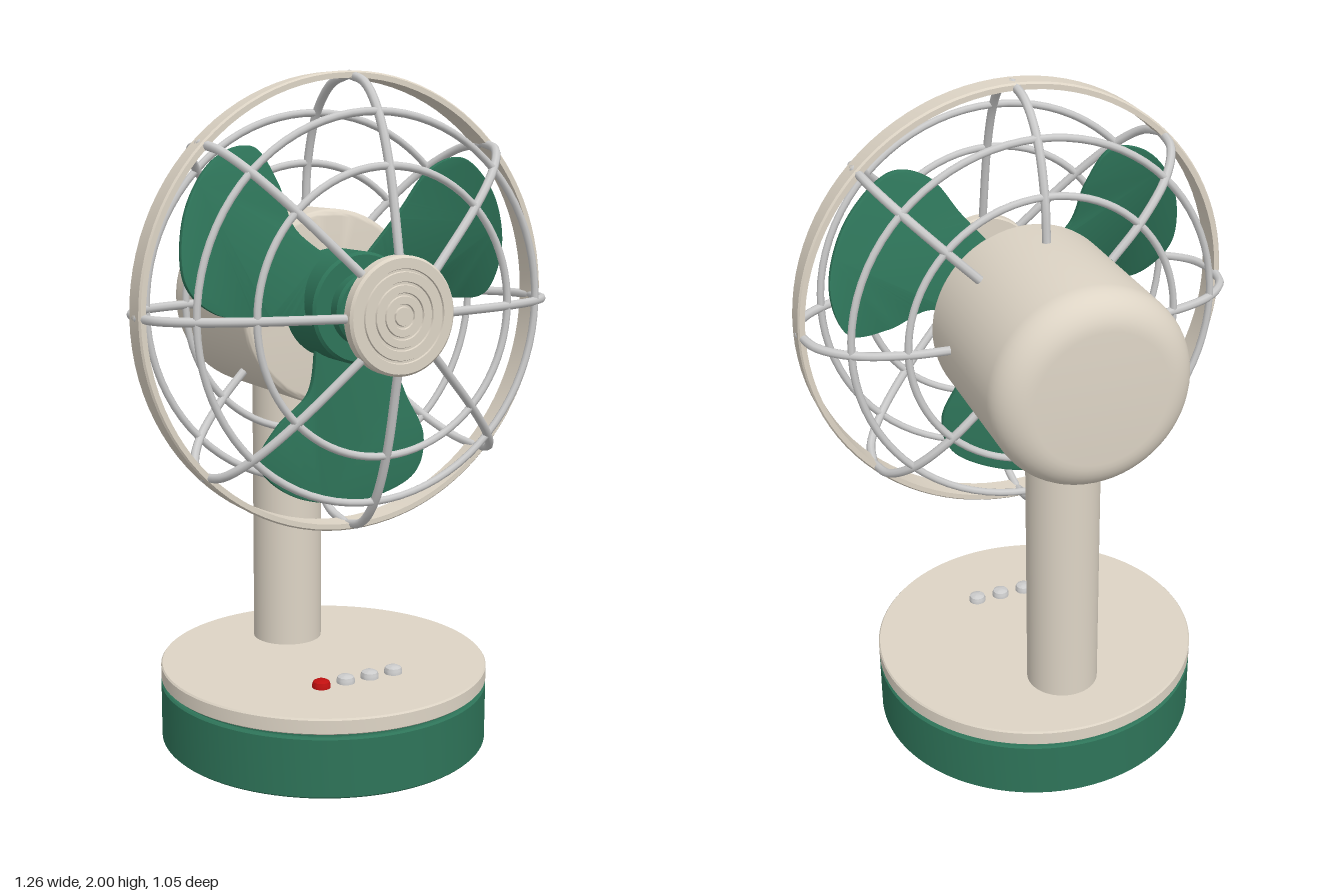
import * as THREE from 'three';
import { toCreasedNormals } from 'three/addons/utils/BufferGeometryUtils.js';

const paint = (color) => new THREE.MeshStandardMaterial({ color });
const CREAM = paint(0xddd4c5);
const GREEN = paint(0x2e7459);
const METAL = paint(0xcccccc);
const RED = paint(0xc01010);

function add(parent, name, geometry, material) {
  const mesh = new THREE.Mesh(geometry, material);
  mesh.name = name;
  parent.add(mesh);
  return mesh;
}

// Turned solid from [radius, height] pairs, with sharp edges kept sharp
function turned(profile, segments = 64) {
  const points = profile.map(([r, h]) => new THREE.Vector2(r, h));
  return toCreasedNormals(new THREE.LatheGeometry(points, segments), 0.6);
}

// Turned solid whose axis runs front to back
const turnedZ = (profile, segments) => turned(profile, segments).rotateX(Math.PI / 2);

// Quarter-round corner as [radius, height] pairs
function corner(r, h, size, from, to, steps = 6) {
  return Array.from({ length: steps + 1 }, (_, i) => {
    const a = from + ((to - from) * i) / steps;
    return [r + size * Math.cos(a), h + size * Math.sin(a)];
  });
}

function makeBase() {
  const base = new THREE.Group();
  base.name = 'base';
  add(base, 'baseBody', turned([[0, 0], [0.495, 0], [0.5, 0.005], [0.5, 0.175], [0.495, 0.18], [0, 0.18]], 96), GREEN);
  add(base, 'baseGroove', turned([[0.485, 0.175], [0.485, 0.195]], 96), GREEN);
  add(base, 'baseLid', turned([[0, 0.19], [0.497, 0.19], [0.5, 0.193], [0.5, 0.232], [0.496, 0.237], [0, 0.237]], 96), CREAM);

  // Row of push buttons
  const button = turned([[0.027, 0], [0.027, 0.012], [0.024, 0.02], [0.015, 0.025], [0, 0.026]], 24);
  for (let i = 0; i < 4; i++) {
    const mesh = add(base, i === 0 ? 'powerButton' : 'speedButton', button, i === 0 ? RED : METAL);
    mesh.position.set(-0.13 + i * 0.082, 0.235, 0.224);
  }

  const post = add(base, 'post', new THREE.CylinderGeometry(0.108, 0.108, 0.9, 48), CREAM);
  post.position.set(0, 0.67, -0.24);
  return base;
}

function makeCage() {
  const cage = new THREE.Group();
  cage.name = 'cage';
  add(cage, 'rim', turnedZ([[0.637, 0.102], [0.652, 0.102], [0.657, 0.108], [0.657, 0.172],
    [0.652, 0.178], [0.637, 0.178], [0.637, 0.102]], 96), CREAM);

  // Front and rear ribs, bent along [radius, z] points
  const rib = (points) => new THREE.TubeGeometry(
    new THREE.CatmullRomCurve3(points.map(([r, z]) => new THREE.Vector3(r, 0, z))), 28, 0.013, 8);
  const ribs = {
    frontRib: rib([[0.648, 0.14], [0.622, 0.23], [0.545, 0.3], [0.4, 0.362], [0.15, 0.42]]),
    rearRib: rib([[0.648, 0.14], [0.622, 0.035], [0.54, -0.05], [0.4, -0.102], [0.275, -0.115]]),
  };
  for (const [name, geometry] of Object.entries(ribs)) {
    for (let i = 0; i < 8; i++) {
      add(cage, name, geometry, METAL).rotation.z = (i * Math.PI) / 4;
    }
  }

  // Wire hoops
  for (const [r, z] of [[0.545, 0.3], [0.4, 0.362], [0.545, -0.047], [0.4, -0.102]]) {
    add(cage, 'hoop', new THREE.TorusGeometry(r, 0.011, 8, 80), METAL).position.z = z;
  }

  // Front cap with shallow concentric grooves
  const face = [0.125, 0.09, 0.06, 0.03].flatMap((r) =>
    [[r + 0.005, 0.445], [r + 0.003, 0.44], [r - 0.003, 0.44], [r - 0.005, 0.445]]);
  add(cage, 'frontCap', turnedZ([[0, 0.403], [0.16, 0.403], [0.165, 0.408], [0.165, 0.438],
    [0.158, 0.445], ...face, [0, 0.445]]), CREAM);
  return cage;
}

function makePropeller() {
  const propeller = new THREE.Group();
  propeller.name = 'propeller';
  add(propeller, 'hub', turnedZ([[0.16, 0.04], [0.16, 0.222], [0.152, 0.23], [0.105, 0.23],
    [0.105, 0.262], [0.097, 0.27], [0, 0.27]], 48), GREEN);

  // Rounded paddle pointing up, pitched by shearing it along z
  const outline = [[-0.16, 0.26], [-0.215, 0.39], [-0.18, 0.51], [-0.02, 0.575], [0.15, 0.555],
    [0.25, 0.46], [0.2, 0.35], [0.11, 0.25]].map(([x, y]) => new THREE.Vector2(x, y));
  const shape = new THREE.Shape();
  shape.moveTo(0.09, 0.1);
  shape.lineTo(-0.1, 0.1);
  shape.splineThru([...outline, new THREE.Vector2(0.09, 0.1)]);
  const blade = new THREE.ExtrudeGeometry(shape, {
    depth: 0.012, bevelEnabled: true, bevelThickness: 0.004, bevelSize: 0.004, bevelSegments: 2, curveSegments: 40,
  });
  const p = blade.attributes.position;
  for (let i = 0; i < p.count; i++) p.setZ(i, p.getZ(i) + 0.139 - 0.28 * p.getX(i));
  const bladeGeometry = toCreasedNormals(blade, 0.6);
  for (let i = 0; i < 3; i++) {
    add(propeller, 'blade', bladeGeometry, GREEN).rotation.z = Math.PI + (i * Math.PI * 2) / 3;
  }
  return propeller;
}

export function createModel() {
  const model = new THREE.Group();
  model.name = 'deskFan';
  model.add(makeBase());

  // Motor housing, well rounded at the back
  const motor = add(model, 'motorHousing', turnedZ([[0, -0.513],
    ...corner(0.192, -0.418, 0.095, -Math.PI / 2, 0, 10),
    ...corner(0.267, 0.037, 0.02, 0, Math.PI / 2), [0, 0.057]]), CREAM);
  motor.position.y = 1.326;

  const head = new THREE.Group();
  head.name = 'head';
  head.position.y = 1.342;
  head.add(makeCage(), makePropeller());
  model.add(head);

  // The whole fan is turned a little to its right
  model.rotation.y = -THREE.MathUtils.degToRad(20);
  model.position.set(0.05, 0, 0.03);
  const root = new THREE.Group();
  root.name = 'fan';
  root.add(model);
  return root;
}
